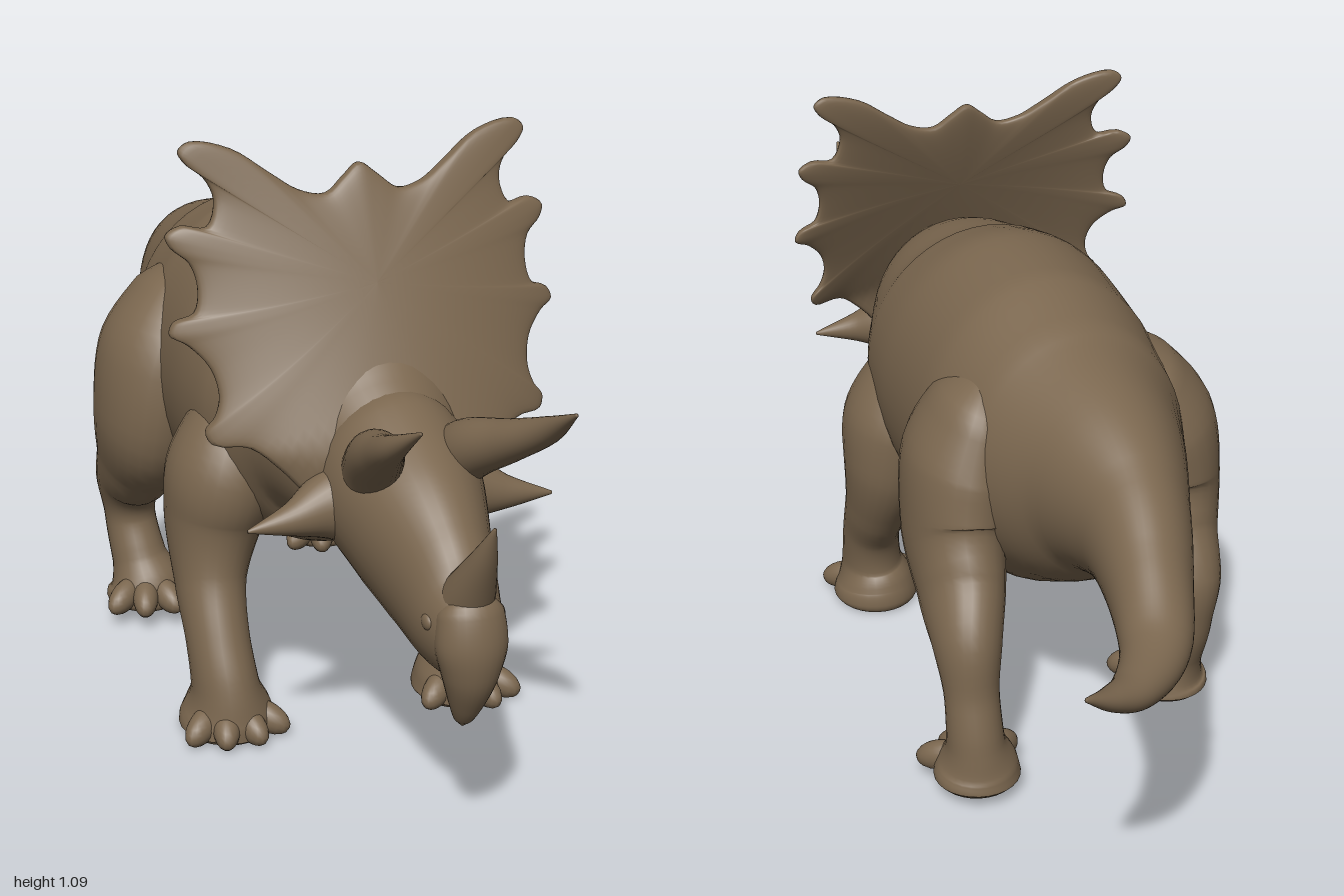
import * as THREE from 'three';

const hide = new THREE.MeshStandardMaterial({ color: 0x7b674f });
hide.name = 'brown hide';

// Closed smooth skin over a list of equal-length rings of points
function skin(rings) {
  const n = rings[0].length;
  const centre = (r) => {
    const c = r.reduce((s, p) => s.add(p), new THREE.Vector3()).divideScalar(n);
    return r.map(() => c);
  };
  const all = [centre(rings[0]), ...rings, centre(rings[rings.length - 1])];
  const index = [];
  for (let i = 0; i < all.length - 1; i++) {
    for (let j = 0; j < n; j++) {
      const a = i * n + j, b = i * n + (j + 1) % n;
      index.push(a, b, a + n, b, b + n, a + n);
    }
  }
  const geo = new THREE.BufferGeometry().setFromPoints(all.flat());
  geo.setIndex(index);
  geo.computeVertexNormals();
  return geo;
}

// Elliptical loft; each section is [x, y, z, half width, half depth]
function loft(sections, ref, steps = 6, sides = 28) {
  const path = new THREE.CatmullRomCurve3(sections.map((s) => new THREE.Vector3(s[0], s[1], s[2])));
  const size = new THREE.CatmullRomCurve3(sections.map((s) => new THREE.Vector3(s[3], s[4] ?? s[3], 0)));
  const count = (sections.length - 1) * steps;
  const rings = [];
  for (let i = 0; i <= count; i++) {
    const t = i / count, c = path.getPoint(t), r = size.getPoint(t), dir = path.getTangent(t);
    const u = ref.clone().cross(dir).normalize(), v = dir.clone().cross(u);
    rings.push(Array.from({ length: sides }, (_, j) => {
      const a = j / sides * Math.PI * 2;
      return c.clone()
        .addScaledVector(u, Math.max(r.x, 0.002) * Math.cos(a))
        .addScaledVector(v, Math.max(r.y, 0.002) * Math.sin(a));
    }));
  }
  return skin(rings);
}

const UP = new THREE.Vector3(0, 1, 0), FRONT = new THREE.Vector3(0, 0, 1);
const flip = (sections, s) => sections.map(([x, ...rest]) => [x * s, ...rest]);

// Bent neck frill with spiked rim, thin at the edge
function frillGeometry() {
  const half = [[0.03, 1.025], [0.065, 1.0], [0.11, 1.008], [0.16, 1.04], [0.22, 1.08], [0.29, 1.095],
    [0.31, 1.08], [0.30, 1.06], [0.27, 1.035], [0.256, 1.0], [0.272, 0.957], [0.315, 0.96], [0.34, 0.945],
    [0.333, 0.925], [0.305, 0.9], [0.295, 0.86], [0.305, 0.82], [0.338, 0.805], [0.346, 0.785], [0.32, 0.77],
    [0.288, 0.735], [0.278, 0.69], [0.288, 0.655], [0.305, 0.632], [0.296, 0.613], [0.24, 0.61], [0.19, 0.57], [0.12, 0.5]];
  const outline = [[0, 1.045], ...half, [0, 0.48], ...half.slice().reverse().map(([x, y]) => [-x, y])];
  const rim = new THREE.CatmullRomCurve3(outline.map(([x, y]) => new THREE.Vector3(x, y, 0)), true)
    .getPoints(outline.length * 4).slice(0, -1);
  const rings = [], n = 32, midY = 0.86;
  for (let k = 0; k <= n; k++) {
    const a = k / n * Math.PI, r = Math.sin(a), c = Math.cos(a);
    const off = 0.02 * Math.sign(c) * Math.sqrt(Math.abs(c));
    rings.push(rim.map((p) => {
      const x = p.x * r, y = midY + (p.y - midY) * r;
      const drop = Math.max(0, 1.1 - Math.max(y, 0.6));
      return new THREE.Vector3(x, y, 0.385 + 0.47 * drop ** 1.15 - (1.6 * drop + 0.1) * x * x + off);
    }));
  }
  return skin(rings);
}

export function createModel() {
  const model = new THREE.Group();
  model.name = 'hornedDinosaur';
  const add = (name, geo, parent = model) => {
    const mesh = new THREE.Mesh(geo, hide);
    mesh.name = name;
    parent.add(mesh);
    return mesh;
  };
  const ball = (name, parent, x, y, z, rx, ry, rz) => {
    const mesh = add(name, new THREE.SphereGeometry(1, 18, 12), parent);
    mesh.position.set(x, y, z);
    mesh.scale.set(rx, ry, rz);
    return mesh;
  };

  // Tail, trunk and neck in one sweep
  add('body', loft([
    [0.225, 0.578, -1, 0.003, 0.004], [0.165, 0.538, -0.95, 0.025, 0.021], [0.11, 0.515, -0.9, 0.04, 0.034],
    [0.04, 0.513, -0.8, 0.058, 0.053], [0, 0.55, -0.66, 0.075, 0.095], [-0.02, 0.588, -0.53, 0.1, 0.133],
    [-0.02, 0.607, -0.4, 0.148, 0.18], [-0.01, 0.595, -0.26, 0.208, 0.245], [0, 0.58, -0.1, 0.24, 0.3],
    [0, 0.577, 0.1, 0.25, 0.307], [0, 0.58, 0.27, 0.245, 0.267], [0, 0.587, 0.4, 0.205, 0.215],
    [0, 0.555, 0.52, 0.155, 0.175], [0, 0.53, 0.62, 0.11, 0.13]], UP, 6, 48));

  // Head
  const head = new THREE.Group();
  head.name = 'head';
  model.add(head);
  add('skull', loft([
    [0, 0.57, 0.49, 0.1, 0.13], [0, 0.545, 0.57, 0.135, 0.158], [0, 0.52, 0.64, 0.132, 0.15],
    [0, 0.485, 0.71, 0.113, 0.146], [0, 0.445, 0.785, 0.09, 0.13], [0, 0.41, 0.855, 0.074, 0.105],
    [0, 0.395, 0.915, 0.058, 0.08], [0, 0.39, 0.95, 0.036, 0.05], [0, 0.39, 0.965, 0.004, 0.006]], UP, 6, 36), head);
  add('beak', loft([
    [0, 0.47, 0.895, 0.02, 0.02], [0, 0.44, 0.91, 0.055, 0.045], [0, 0.39, 0.918, 0.06, 0.05],
    [0, 0.335, 0.917, 0.047, 0.044], [0, 0.28, 0.905, 0.029, 0.028], [0, 0.248, 0.895, 0.016, 0.016],
    [0, 0.234, 0.892, 0.003, 0.004]], FRONT), head);
  add('noseHorn', loft([
    [0, 0.44, 0.885, 0.05, 0.05], [0, 0.49, 0.92, 0.038, 0.036], [0, 0.55, 0.96, 0.021, 0.02],
    [0, 0.61, 0.995, 0.003, 0.003]], FRONT), head);
  add('frill', frillGeometry(), head);

  // Hind legs stand at different points of the stride
  const hind = {
    left: [[0.14, 0.755, -0.18, 0.01, 0.04], [0.162, 0.69, -0.18, 0.07, 0.115], [0.19, 0.57, -0.175, 0.102, 0.15],
      [0.205, 0.45, -0.2, 0.093, 0.148], [0.213, 0.37, -0.27, 0.078, 0.112], [0.225, 0.3, -0.345, 0.063, 0.08],
      [0.227, 0.2, -0.38, 0.05, 0.053], [0.225, 0.12, -0.392, 0.053, 0.058], [0.22, 0.07, -0.385, 0.074, 0.075],
      [0.22, 0.045, -0.383, 0.08, 0.08], [0.22, 0.032, -0.383, 0.07, 0.07]],
    right: [[-0.14, 0.755, -0.13, 0.01, 0.04], [-0.168, 0.69, -0.12, 0.075, 0.115], [-0.215, 0.57, -0.105, 0.11, 0.15],
      [-0.237, 0.45, -0.11, 0.099, 0.145], [-0.238, 0.36, -0.16, 0.083, 0.108], [-0.243, 0.28, -0.22, 0.065, 0.078],
      [-0.24, 0.2, -0.23, 0.05, 0.055], [-0.23, 0.12, -0.205, 0.054, 0.058], [-0.22, 0.07, -0.19, 0.074, 0.075],
      [-0.22, 0.045, -0.187, 0.08, 0.08], [-0.22, 0.032, -0.187, 0.07, 0.07]],
  };

  for (const [side, s] of [['left', 1], ['right', -1]]) {
    // Paired head parts
    add(side + 'BrowHorn', loft(flip([
      [0.07, 0.56, 0.62, 0.04, 0.06], [0.082, 0.625, 0.7, 0.047, 0.052], [0.108, 0.672, 0.8, 0.036, 0.036],
      [0.13, 0.722, 0.9, 0.022, 0.022], [0.126, 0.78, 1, 0.003, 0.003]], s), UP), head);
    add(side + 'CheekHorn', loft(flip([
      [0.05, 0.52, 0.585, 0.08, 0.09], [0.13, 0.515, 0.6, 0.052, 0.058], [0.19, 0.506, 0.615, 0.028, 0.03],
      [0.272, 0.498, 0.625, 0.003, 0.003]], s), UP), head);
    ball(side + 'Eye', head, s * 0.098, 0.55, 0.7, 0.014, 0.018, 0.022);
    ball(side + 'Nostril', head, s * 0.062, 0.42, 0.885, 0.008, 0.014, 0.016);

    // Legs, each with a fan of blunt toes
    const legs = {
      FrontLeg: flip([[0.14, 0.62, 0.25, 0.02, 0.04], [0.168, 0.565, 0.25, 0.075, 0.09], [0.2, 0.46, 0.255, 0.1, 0.12],
        [0.217, 0.37, 0.255, 0.087, 0.105], [0.232, 0.27, 0.285, 0.064, 0.078], [0.235, 0.18, 0.335, 0.057, 0.066],
        [0.23, 0.1, 0.36, 0.06, 0.076], [0.225, 0.05, 0.358, 0.08, 0.09], [0.225, 0.024, 0.355, 0.086, 0.092],
        [0.225, 0.01, 0.355, 0.075, 0.08]], s),
      HindLeg: hind[side],
    };
    for (const [name, sections] of Object.entries(legs)) {
      const leg = new THREE.Group();
      leg.name = side + name;
      model.add(leg);
      add('limb', loft(sections, FRONT), leg);
      const [x, y, z] = sections[sections.length - 1];
      for (let i = 0; i < 4; i++) {
        const a = (i - 1.5) * 0.58;
        const toe = ball('toe', leg, x + Math.sin(a) * 0.075, y + 0.031, z + Math.cos(a) * 0.07, 0.025, 0.028, 0.05);
        toe.rotation.set(0.35, a, 0, 'YXZ');
      }
    }
  }
  return model;
}
